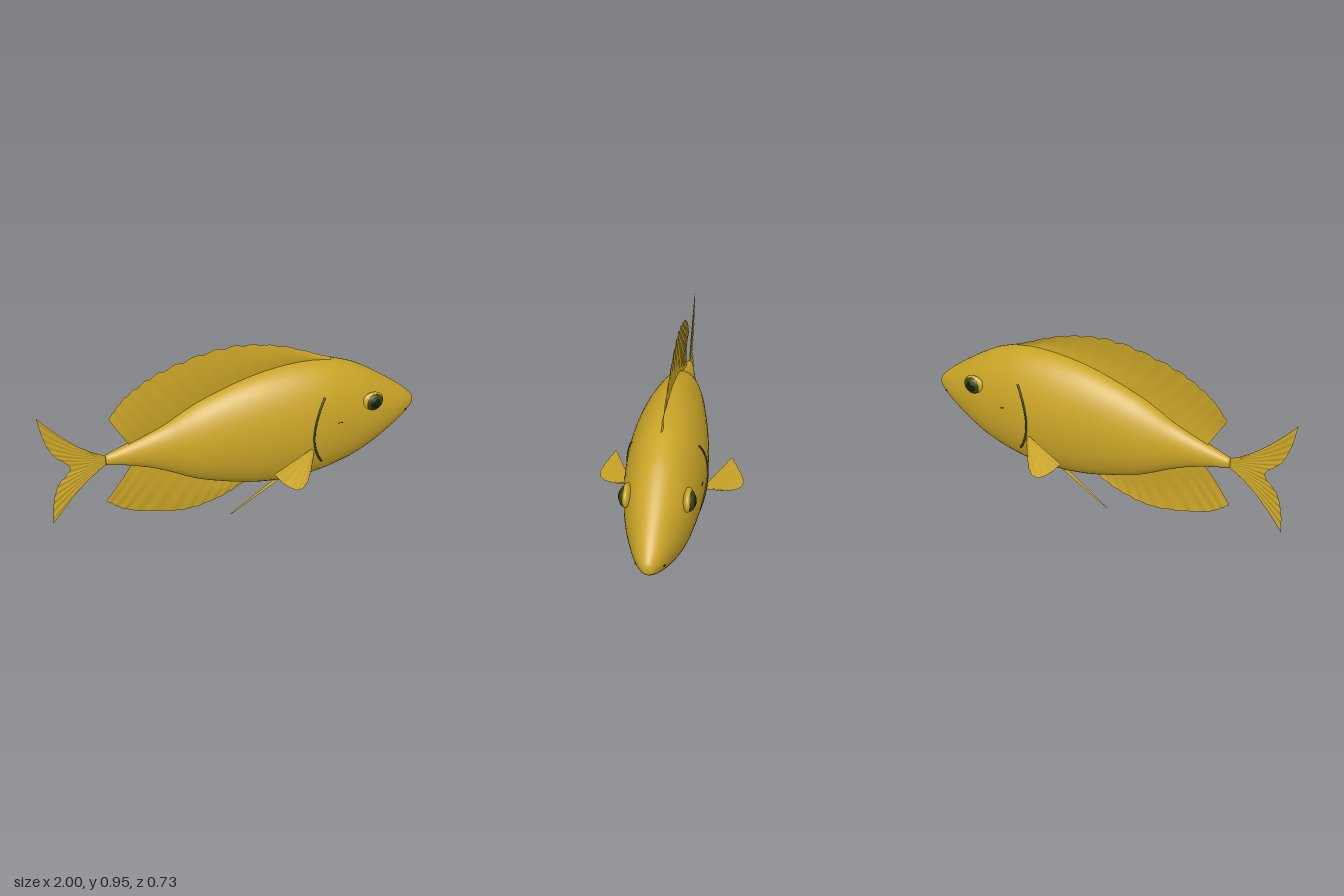
import * as THREE from 'three';

const gold = new THREE.MeshStandardMaterial({ color: 0xc9a427, side: THREE.DoubleSide });
gold.name = 'golden skin';
const olive = new THREE.MeshStandardMaterial({ color: 0x38420c });
olive.name = 'dark olive';
const black = new THREE.MeshStandardMaterial({ color: 0x14190a });
black.name = 'pupil black';

// Body sections: x, top, bottom, half width
const sections = [
  [-0.705, 0.467, 0.413, 0.022], [-0.62, 0.495, 0.392, 0.037], [-0.5, 0.537, 0.348, 0.058],
  [-0.4, 0.578, 0.298, 0.08], [-0.3, 0.633, 0.24, 0.11], [-0.2, 0.68, 0.192, 0.135],
  [0, 0.746, 0.125, 0.168], [0.15, 0.776, 0.096, 0.186], [0.3, 0.787, 0.087, 0.194],
  [0.45, 0.775, 0.1, 0.187], [0.6, 0.725, 0.137, 0.167], [0.7, 0.67, 0.18, 0.147],
  [0.8, 0.602, 0.236, 0.117], [0.9, 0.528, 0.304, 0.08], [0.96, 0.476, 0.352, 0.05],
  [0.99, 0.445, 0.38, 0.028], [1, 0.425, 0.397, 0.012],
];
const spline = (pts) => new THREE.CatmullRomCurve3(pts, false, 'catmullrom');
const heights = spline(sections.map(([x, t, b]) => new THREE.Vector3(x, t, b)));
const widths = spline(sections.map(([x, , , w]) => new THREE.Vector3(x, w, 0)));
const section = (t) => {
  const h = heights.getPoint(t);
  return { x: h.x, cy: (h.y + h.z) / 2, ry: (h.y - h.z) / 2, rz: widths.getPoint(t).y };
};

// Half thickness of the body at a point of its side
function sideZ(x, y) {
  let lo = 0, hi = 1;
  for (let i = 0; i < 30; i++) {
    const mid = (lo + hi) / 2;
    if (section(mid).x < x) lo = mid; else hi = mid;
  }
  const s = section(lo);
  return s.rz * Math.sqrt(Math.max(0, 1 - ((y - s.cy) / s.ry) ** 2));
}

function buildGeometry(pos, idx) {
  const g = new THREE.BufferGeometry();
  g.setAttribute('position', new THREE.Float32BufferAttribute(pos, 3));
  g.setIndex(idx);
  g.computeVertexNormals();
  return g;
}

// Elliptical rings lofted along x, closed at both ends
function bodyGeometry(rows = 90, n = 56) {
  const pos = [], idx = [];
  for (let i = -1; i <= rows + 1; i++) {
    const s = section(THREE.MathUtils.clamp(i / rows, 0, 1));
    const k = i < 0 || i > rows ? 0 : 1;
    for (let j = 0; j < n; j++) {
      const a = (j / n) * Math.PI * 2;
      pos.push(s.x, s.cy + k * s.ry * Math.cos(a), k * s.rz * Math.sin(a));
    }
  }
  for (let i = 0; i < rows + 2; i++) {
    for (let j = 0; j < n; j++) {
      const a = i * n + j, b = i * n + (j + 1) % n;
      idx.push(a, b, a + n, b, b + n, a + n);
    }
  }
  return buildGeometry(pos, idx);
}

// Fin sheet swept from a base curve to an outer curve, rippled by its rays
function finGeometry(base, outer, { mid, rays = 12, ripple = 0.002, bow = 0, scallop = 0 } = {}) {
  const curve = (pts) => spline(pts.map(([x, y, z = 0]) => new THREE.Vector3(x, y, z)));
  const A = curve(base), C = curve(outer), M = mid && curve(mid);
  const nu = rays * 6, nv = 10, pos = [], idx = [];
  for (let i = 0; i <= nu; i++) {
    const u = i / nu, a = A.getPoint(u), c = C.getPoint(u);
    c.y += scallop * (Math.abs(Math.sin(u * rays * Math.PI)) - 0.6) * Math.sin(u * Math.PI);
    const m = M ? M.getPoint(u) : a.clone().lerp(c, 0.5);
    for (let j = 0; j <= nv; j++) {
      const v = j / nv, w = 1 - v;
      const p = a.clone().multiplyScalar(w * w).addScaledVector(m, 2 * w * v).addScaledVector(c, v * v);
      p.z += bow * Math.sin(v * Math.PI) + ripple * v * Math.sin(u * rays * 2 * Math.PI);
      pos.push(p.x, p.y, p.z);
    }
  }
  for (let i = 0; i < nu; i++) {
    for (let j = 0; j < nv; j++) {
      const a = i * (nv + 1) + j, b = a + nv + 1;
      idx.push(a, b, a + 1, b, b + 1, a + 1);
    }
  }
  return buildGeometry(pos, idx);
}

export function createModel() {
  const fish = new THREE.Group();
  fish.name = 'fish';
  const add = (name, geometry, material, parent = fish) => {
    const mesh = new THREE.Mesh(geometry, material);
    mesh.name = name;
    parent.add(mesh);
    return mesh;
  };
  const ball = (name, material, parent, p, r) => {
    const mesh = add(name, new THREE.SphereGeometry(1, 28, 18), material, parent);
    mesh.position.set(...p);
    mesh.scale.set(...r);
    return mesh;
  };

  add('body', bodyGeometry(), gold);

  // Fins on the centre line
  add('dorsalFin', finGeometry(
    [[-0.575, 0.49], [-0.4, 0.54], [-0.2, 0.64], [0, 0.71], [0.25, 0.76], [0.48, 0.755]],
    [[-0.67, 0.675], [-0.57, 0.785], [-0.38, 0.885], [-0.08, 0.945], [0.2, 0.9], [0.49, 0.775]],
    { rays: 15, bow: 0.009, scallop: 0.012 }), gold);
  add('analFin', finGeometry(
    [[-0.57, 0.39], [-0.4, 0.33], [-0.2, 0.23], [-0.05, 0.17], [0.06, 0.13]],
    [[-0.725, 0.18], [-0.6, 0.085], [-0.33, 0.004], [-0.12, 0.03], [0.06, 0.115]],
    { rays: 12, bow: 0.006 }), gold);
  add('tailFin', finGeometry(
    [[-0.69, 0.463], [-0.69, 0.44], [-0.69, 0.417]],
    [[-1, 0.76], [-0.985, 0.64], [-0.95, 0.53], [-0.88, 0.437], [-0.95, 0.345], [-0.985, 0.235], [-1, 0.115]],
    { mid: [[-0.83, 0.52], [-0.79, 0.44], [-0.83, 0.35]], rays: 14, bow: 0.004 }), gold);

  for (const s of [1, -1]) {
    const side = new THREE.Group();
    side.name = s > 0 ? 'frontFacingSide' : 'rearFacingSide';
    fish.add(side);
    const flip = (pts) => pts.map(([x, y, z]) => [x, y, z * s]);

    // Paired fins
    add('pectoralFin', finGeometry(
      flip([[0.34, 0.372, 0.18], [0.34, 0.362, 0.18], [0.34, 0.35, 0.18]]),
      flip([[0.07, 0.355, 0.298], [0.105, 0.315, 0.335], [0.165, 0.281, 0.366], [0.225, 0.279, 0.342], [0.285, 0.305, 0.27], [0.335, 0.35, 0.19]]),
      { rays: 8, ripple: 0.0015 * s }), gold, side);
    add('pelvicFin', finGeometry(
      flip([[0.19, 0.128, 0.06], [0.19, 0.128, 0.085]]),
      flip([[-0.11, 0.01, 0.132], [-0.1, 0.014, 0.136]]),
      { rays: 3, ripple: 0 }), gold, side);

    // Eye
    ball('eyeball', gold, side, [0.677, 0.55, s * 0.137], [0.062, 0.053, 0.024]);
    ball('iris', olive, side, [0.683, 0.549, s * 0.148], [0.048, 0.047, 0.022]);
    ball('pupil', black, side, [0.683, 0.549, s * 0.156], [0.033, 0.034, 0.018]);

    // Gill slit, small cheek mark and nostril laid on the skin
    const onSkin = (pts) => spline(pts.map(([x, y]) => new THREE.Vector3(x, y, s * sideZ(x, y))));
    const gill = [];
    for (let i = 0; i <= 16; i++) {
      const k = i / 8 - 1;
      gill.push([0.33 + 0.064 * k * k, 0.45 - 0.196 * k]);
    }
    add('gillSlit', new THREE.TubeGeometry(onSkin(gill), 48, 0.0055, 8), olive, side);
    add('cheekMark', new THREE.TubeGeometry(onSkin([[0.465, 0.494], [0.492, 0.487]]), 4, 0.0025, 6), olive, side);
    ball('nostril', black, side, [0.932, 0.389, s * sideZ(0.932, 0.389)], [0.008, 0.005, 0.004]);
  }
  return fish;
}
